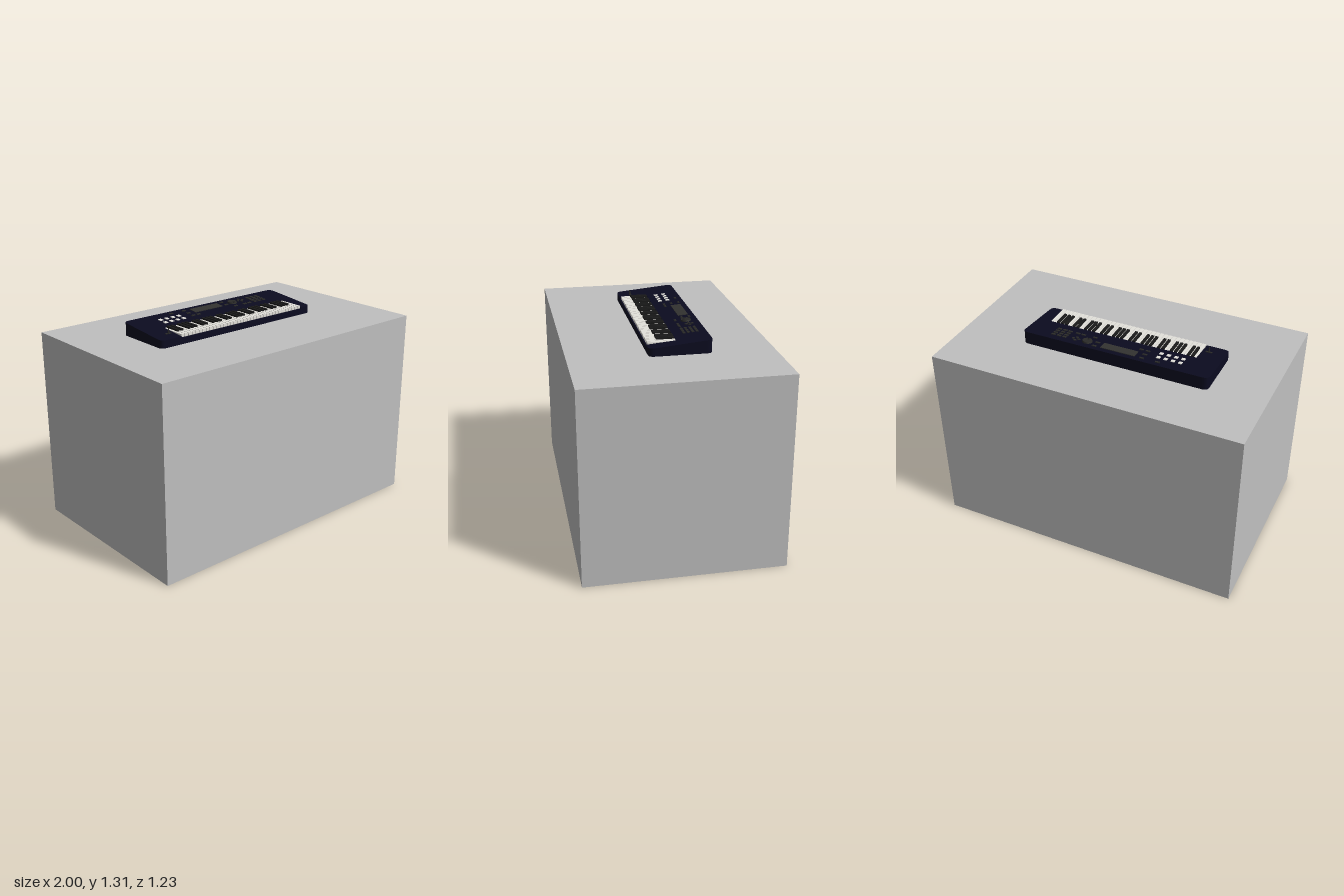
import * as THREE from 'three';

const mat = (name, color) => {
  const m = new THREE.MeshStandardMaterial({ color });
  m.name = name;
  return m;
};

export function createModel() {
  const root = new THREE.Group();
  const M = {
    plinth: mat('plinth grey', 0xc0c0c0),
    navy: mat('navy casing', 0x0b0b20),
    white: mat('key white', 0xe4e2dc),
    black: mat('key black', 0x1a1a1a),
    bed: mat('key bed grey', 0x6e6e6c),
    button: mat('button grey', 0x2a2a28),
    screen: mat('screen grey', 0x333331),
  };
  const add = (parent, name, geo, m, x = 0, y = 0, z = 0) => {
    const mesh = new THREE.Mesh(geo, m);
    mesh.name = name;
    mesh.position.set(x, y, z);
    parent.add(mesh);
    return mesh;
  };
  const box = (w, h, d) => new THREE.BoxGeometry(w, h, d);

  // Plinth
  const H = 1.224;
  add(root, 'plinth', box(2, H, 1.23), M.plinth, 0, H / 2, 0);

  const keyboard = new THREE.Group();
  keyboard.name = 'keyboard';
  root.add(keyboard);

  // Casing: rounded outline with a notch for the keys, top sloped down to the front
  const L = -0.645, R = 0.575, F = 0.142, B = -0.238, r = 0.035;
  const K = 0.495, N = -0.035;
  const slope = (1.307 - 1.272) / (F - B);
  const topAt = z => 1.272 + (F - z) * slope;
  const s = new THREE.Shape();
  s.moveTo(L + r, -F);
  s.lineTo(-K, -F);
  s.lineTo(-K, -N);
  s.lineTo(K, -N);
  s.lineTo(K, -F);
  s.lineTo(R - r, -F);
  s.quadraticCurveTo(R, -F, R, -F + r);
  s.lineTo(R, -B - r);
  s.quadraticCurveTo(R, -B, R - r, -B);
  s.lineTo(L + r, -B);
  s.quadraticCurveTo(L, -B, L, -B - r);
  s.lineTo(L, -F + r);
  s.quadraticCurveTo(L, -F, L + r, -F);
  const casing = new THREE.ExtrudeGeometry(s, { depth: 1, bevelEnabled: false, curveSegments: 6 });
  casing.rotateX(-Math.PI / 2);
  const p = casing.attributes.position;
  for (let i = 0; i < p.count; i++) p.setY(i, p.getY(i) > 0.5 ? topAt(p.getZ(i)) : H);
  casing.computeVertexNormals();
  add(keyboard, 'casing', casing, M.navy);
  add(keyboard, 'frontRail', box(2 * K, 0.038, F - N), M.navy, 0, H + 0.019, (F + N) / 2);
  add(keyboard, 'keyBed', box(2 * K, 0.006, 0.165), M.bed, 0, 1.264, 0.048);

  // Keys: five octaves plus the last C
  const keys = new THREE.Group();
  keys.name = 'keys';
  keyboard.add(keys);
  const count = 36, w = (2 * K) / count;
  const whiteGeo = box(w - 0.004, 0.018, 0.17), blackGeo = box(0.017, 0.02, 0.108);
  for (let i = 0; i < count; i++) {
    const x = -K + (i + 0.5) * w;
    add(keys, 'whiteKey', whiteGeo, M.white, x, 1.274, 0.05);
    if (i < count - 1 && ![2, 6].includes(i % 7))
      add(keys, 'blackKey', blackGeo, M.black, x + w / 2, 1.284, 0.021);
  }

  // Control panel: parts laid on the sloped top
  const panel = new THREE.Group();
  panel.name = 'controlPanel';
  keyboard.add(panel);
  const onPanel = (name, geo, m, x, z, lift = 0.001) => {
    const mesh = add(panel, name, geo, m, x, topAt(z) + lift, z);
    mesh.rotation.x = Math.atan(slope);
    return mesh;
  };
  onPanel('display', box(0.225, 0.006, 0.064), M.screen, -0.051, -0.171);

  // Pads
  const padGeo = box(0.023, 0.006, 0.025);
  for (const x of [-0.436, -0.389, -0.342, -0.295])
    for (const z of [-0.144, -0.094]) onPanel('pad', padGeo, M.white, x, z);

  // Small buttons
  const buttonGeo = box(0.028, 0.006, 0.014);
  for (const [x, z] of [[-0.313, -0.2], [-0.211, -0.2], [-0.211, -0.152], [-0.211, -0.104],
    [-0.168, -0.104], [0.102, -0.2], [0.102, -0.152], [0.142, -0.104], [0.222, -0.104], [0.26, -0.104]])
    onPanel('button', buttonGeo, M.button, x, z);

  // Number pad
  const numberGeo = box(0.026, 0.006, 0.016);
  for (const x of [0.313, 0.35, 0.388])
    for (const z of [-0.184, -0.158, -0.131, -0.104]) onPanel('numberButton', numberGeo, M.button, x, z);

  // Data dial with a finger dimple
  onPanel('dial', new THREE.CylinderGeometry(0.03, 0.033, 0.012, 24), M.button, 0.165, -0.166, 0.003);
  onPanel('dialDimple', new THREE.CylinderGeometry(0.008, 0.008, 0.002, 12), M.black, 0.165, -0.15, 0.009);

  // Cursor buttons in a cross
  const cursorGeo = new THREE.CylinderGeometry(0.011, 0.011, 0.006, 4);
  for (const [dx, dz] of [[1, 0], [-1, 0], [0, 1], [0, -1]])
    onPanel('cursorButton', cursorGeo, M.button, 0.239 + dx * 0.018, -0.171 + dz * 0.018);

  // Pitch lever
  onPanel('leverPlate', box(0.042, 0.004, 0.012), M.button, -0.537, 0.064);
  const lever = onPanel('lever', new THREE.CylinderGeometry(0.0035, 0.006, 0.034, 10), M.button, -0.537, 0.068, 0.015);
  lever.rotation.x = 0;

  return root;
}
